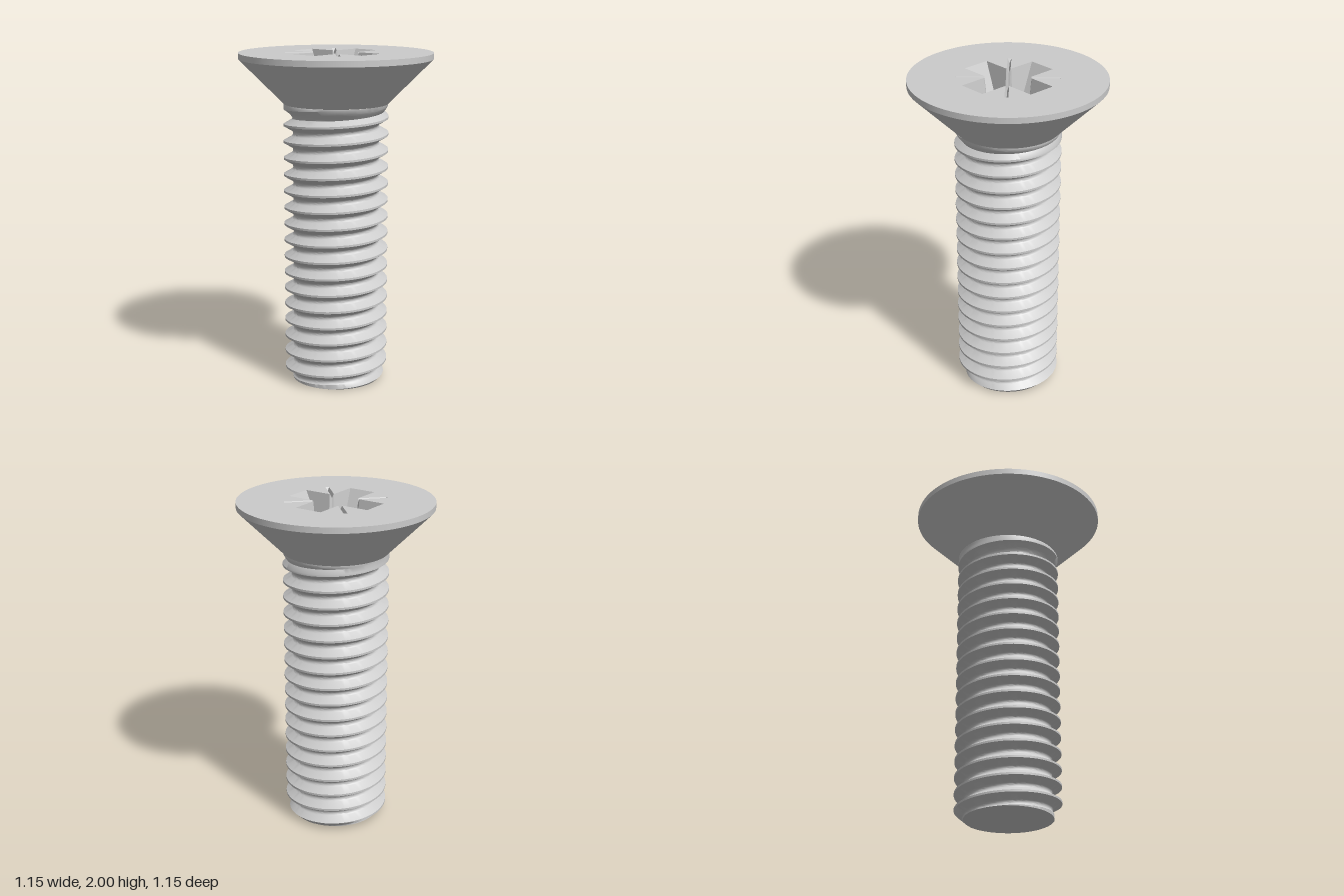
import * as THREE from 'three';
import { toCreasedNormals } from 'three/addons/utils/BufferGeometryUtils.js';

const TAU = Math.PI * 2;
const PITCH = 0.1, NECK_Y = 1.7, NECK_R = 0.31, TOP = 2;
const RIM_R = 0.575, SEGMENTS = 96;

// Half thread profile: [distance from crest in pitches, radius]
const PROFILE = [[0, 0.3125], [0.0625, 0.3125], [0.33, 0.266], [0.37, 0.261], [0.42, 0.2575], [0.5, 0.256]];

function threadRadius(y, theta) {
  const turn = (y - 0.01) / PITCH - theta / TAU;
  const t = Math.abs(turn - Math.round(turn));
  let i = 1;
  while (i < PROFILE.length - 1 && t > PROFILE[i][0]) i++;
  const [t0, r0] = PROFILE[i - 1], [t1, r1] = PROFILE[i];
  const r = r0 + (r1 - r0) * (t - t0) / (t1 - t0);
  // the groove runs out under the head, and the tip is chamfered
  const runout = THREE.MathUtils.lerp(0.256, NECK_R, THREE.MathUtils.smoothstep(y, 1.6, NECK_Y));
  return Math.min(Math.max(r, runout), NECK_R + 0.0025, 0.265 + y);
}

const onShank = (y, theta) => {
  const r = threadRadius(y, theta);
  return [r * Math.cos(theta), y, -r * Math.sin(theta)];
};

function soup(triangles) {
  const g = new THREE.BufferGeometry();
  g.setAttribute('position', new THREE.Float32BufferAttribute(triangles.flat(2), 3));
  g.computeVertexNormals();
  return g;
}

// Rows follow the helix and are clamped to the ends of the shank
function threadGeometry() {
  const offsets = [-0.42, -0.37, -0.33, -0.0625, 0.0625, 0.33, 0.37, 0.42, 0.5];
  const rows = [];
  for (let k = -2; k <= 18; k++) for (const o of offsets) rows.push(0.01 + (k + o) * PITCH);
  const yAt = (i, theta) => THREE.MathUtils.clamp(rows[i] + PITCH * theta / TAU, 0, NECK_Y);
  const tris = [];
  const add = (...pts) => {
    if (pts[0][1] === pts[1][1] && pts[1][1] === pts[2][1]) return;
    tris.push(pts);
  };
  for (let j = 0; j < SEGMENTS; j++) {
    const t0 = j / SEGMENTS * TAU, t1 = (j + 1) / SEGMENTS * TAU;
    for (let i = 0; i < rows.length - 1; i++) {
      const a = onShank(yAt(i, t0), t0), b = onShank(yAt(i, t1), t1);
      const c = onShank(yAt(i + 1, t0), t0), d = onShank(yAt(i + 1, t1), t1);
      add(a, b, c);
      add(b, d, c);
    }
  }
  return toCreasedNormals(soup(tris), 0.7);
}

function tipGeometry() {
  const tris = [];
  for (let j = 0; j < SEGMENTS; j++) {
    tris.push([[0, 0, 0], onShank(0, (j + 1) / SEGMENTS * TAU), onShank(0, j / SEGMENTS * TAU)]);
  }
  return soup(tris);
}

// Cross recess: arm end, arm half width and corner start, at top and floor
const MOUTH = { e: 0.272, w: 0.085, c: 0.105, y: TOP };
const FLOOR = { e: 0.165, w: 0.064, c: 0.097, y: 1.78 };
const WELL_R = 0.112;
const TICK = { inner: 0.134, outer: 0.3, half: 0.011, depth: 0.025 };

const armOutline = ({ e, w, c, y }) => [[c, y, -w], [e, y, -w], [e, y, w], [c, y, w]];
const diagonal = (r, side, y) => [(r + side) * Math.SQRT1_2, y, (r - side) * Math.SQRT1_2];
const quarterTurn = ([x, y, z], k) => {
  for (let i = 0; i < k; i++) [x, z] = [-z, x];
  return [x, y, z];
};
const fourTimes = pts => [0, 1, 2, 3].flatMap(k => pts.map(p => quarterTurn(p, k)));

const { inner, outer, half, depth } = TICK;
const tickIn = [diagonal(inner, half, TOP), diagonal(inner, -half, TOP)];
const tickOut = [diagonal(outer, half, TOP), diagonal(outer, -half, TOP)];
const valleyIn = diagonal(inner, 0, TOP - depth);
const valleyOut = diagonal(outer - 0.012, 0, TOP - depth);

function recessWalls() {
  const { w, c, y } = FLOOR;
  const corner = [0.2, 0.5, 0.8].map(t => [c + (w - c) * t, y, w + (c - w) * t]);
  const top = fourTimes([...armOutline(MOUTH), tickIn[0], valleyIn, tickIn[1]]);
  const bottom = fourTimes([...armOutline(FLOOR), ...corner]);
  const tris = [];
  top.forEach((a, i) => {
    const n = (i + 1) % top.length;
    tris.push([a, top[n], bottom[i]], [top[n], bottom[n], bottom[i]]);
  });
  return soup(tris);
}

// V-shaped marks on the diagonals
function tickGeometry() {
  const [a, b] = tickIn, [c, d] = tickOut;
  const one = [
    a, valleyOut, c, a, valleyIn, valleyOut,
    b, d, valleyOut, b, valleyOut, valleyIn,
    c, valleyOut, d,
  ];
  return soup(fourTimes(one));
}

function flatFace(outline, holePoints, y) {
  outline.holes.push(new THREE.Path(holePoints));
  return new THREE.ShapeGeometry(outline, SEGMENTS / 2).rotateX(-Math.PI / 2).translate(0, y, 0);
}

const to2D = pts => pts.map(([x, , z]) => new THREE.Vector2(x, -z));

function lathe(points) {
  return new THREE.LatheGeometry(points.map(p => new THREE.Vector2(...p)), SEGMENTS);
}

export function createModel() {
  const model = new THREE.Group();
  model.name = 'countersunkScrew';
  const solid = new THREE.MeshStandardMaterial({ color: 0xcccccc });
  const thin = new THREE.MeshStandardMaterial({ color: 0xcccccc, side: THREE.DoubleSide });
  const add = (name, geometry, parent, material = solid) => {
    const mesh = new THREE.Mesh(geometry, material);
    mesh.name = name;
    parent.add(mesh);
  };
  const group = name => {
    const g = new THREE.Group();
    g.name = name;
    model.add(g);
    return g;
  };

  // Shank
  const shank = group('shank');
  add('thread', threadGeometry(), shank);
  add('tip', tipGeometry(), shank);

  // Head
  const head = group('head');
  add('headCone', lathe([[NECK_R, NECK_Y], [RIM_R, 1.965]]), head);
  add('headRim', lathe([[RIM_R, 1.965], [RIM_R, TOP]]), head);
  const disc = new THREE.Shape().absarc(0, 0, RIM_R, 0, TAU, false);
  const mouth = fourTimes([...armOutline(MOUTH), tickIn[0], tickOut[0], tickOut[1], tickIn[1]]);
  add('headFace', flatFace(disc, to2D(mouth), TOP), head);

  // Drive recess
  const recess = group('driveRecess');
  add('recessWalls', recessWalls(), recess, thin);
  add('diagonalMarks', tickGeometry(), recess, thin);
  const wellCircle = new THREE.Path().absarc(0, 0, WELL_R, 0, TAU, false).getPoints(24);
  const floorShape = new THREE.Shape(to2D(fourTimes(armOutline(FLOOR))));
  add('recessFloor', flatFace(floorShape, wellCircle, FLOOR.y), recess, thin);
  add('recessWell', lathe([[0, FLOOR.y - 0.06], [WELL_R, FLOOR.y]]), recess, thin);

  return model;
}
